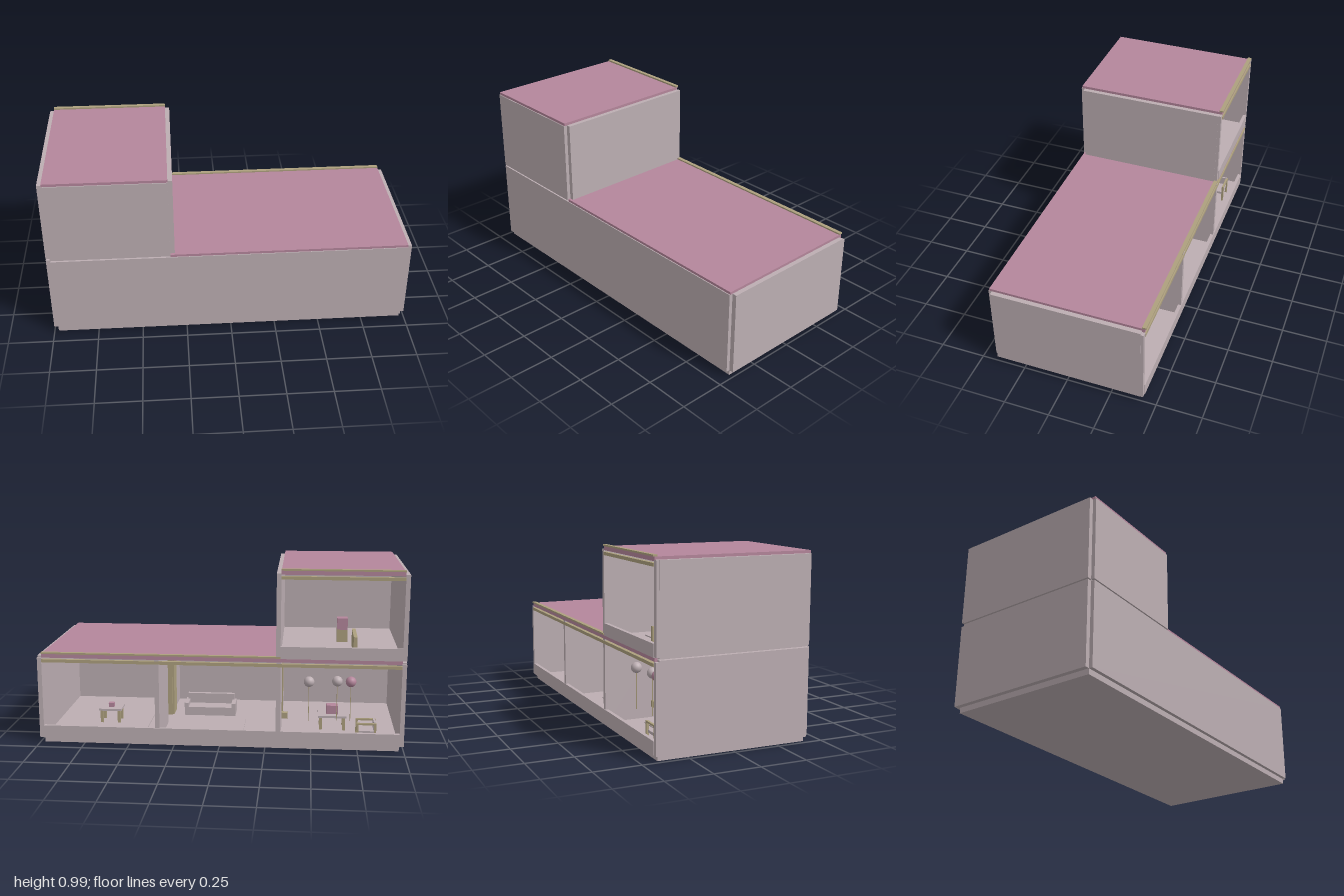
import * as THREE from 'three';

export function createModel() {
  const house = new THREE.Group();
  house.name = 'openBackHouse';
  const mat = (name, color) => {
    const m = new THREE.MeshStandardMaterial({ color });
    m.name = name;
    return m;
  };
  const wall = mat('paleMauve', 0xbcaeb2);
  const pink = mat('dustyPink', 0xb4869b);
  const olive = mat('oliveTan', 0xada07e);

  // Box given by its extents on each axis
  const box = (name, m, x0, x1, y0, y1, z0, z1, parent = house) => {
    const b = new THREE.Mesh(new THREE.BoxGeometry(x1 - x0, y1 - y0, z1 - z0), m);
    b.position.set((x0 + x1) / 2, (y0 + y1) / 2, (z0 + z1) / 2);
    b.name = name;
    parent.add(b);
    return b;
  };
  const group = (name, x, y, z) => {
    const g = new THREE.Group();
    g.name = name;
    g.position.set(x, y, z);
    house.add(g);
    return g;
  };

  // Ground floor shell
  box('baseSlab', wall, -0.975, 0.975, 0, 0.03, -0.41, 0.41);
  box('lowerFrontWall', wall, -0.975, 0.975, 0.03, 0.494, 0.41, 0.43);
  box('lowerRightWall', wall, -1, -0.975, 0.03, 0.494, -0.41, 0.41);
  box('lowerLeftWall', wall, 0.975, 1, 0.03, 0.494, -0.41, 0.41);
  box('lowerCeiling', wall, -0.975, 0.975, 0.482, 0.494, -0.41, 0.41);
  box('lowerRoof', pink, -0.33, 0.975, 0.494, 0.508, -0.41, 0.425);

  // Upper storey shell
  box('upperFloor', wall, -0.975, -0.33, 0.494, 0.508, -0.41, 0.41);
  box('upperFrontWall', wall, -0.975, -0.33, 0.502, 0.965, 0.41, 0.43);
  box('upperRightWall', wall, -1, -0.975, 0.502, 0.965, -0.41, 0.41);
  box('upperLeftWall', wall, -0.33, -0.305, 0.508, 0.965, -0.41, 0.41);
  box('upperRoof', pink, -0.975, -0.33, 0.965, 0.98, -0.41, 0.425);

  // Back sills, posts and layered trims
  box('lowerSill', wall, -0.975, 0.975, 0.03, 0.1, -0.43, -0.41);
  box('upperSill', wall, -0.975, -0.33, 0.505, 0.572, -0.43, -0.41);
  for (const x of [-0.987, -0.32, 0.34, 0.987])
    box('lowerPost', wall, x - 0.012, x + 0.012, 0.03, 0.485, -0.427, -0.41);
  for (const x of [-0.987, -0.318])
    box('upperPost', wall, x - 0.012, x + 0.012, 0.508, 0.965, -0.427, -0.41);
  const trims = (x0, x1, top, capStart) => {
    box('lintelTrim', olive, x0, x1, top - 0.047, top - 0.03, -0.43, -0.41);
    box('roofEdge', pink, x0, x1, top - 0.022, top, -0.425, -0.41);
    box('capTrim', olive, capStart, x1, top, top + 0.009, -0.432, -0.41);
  };
  trims(-0.975, 0.975, 0.507, -0.33);
  trims(-0.975, -0.33, 0.98, -0.975);

  // Partitions with doorways and olive doors
  for (const x of [-0.32, 0.34]) {
    box('partitionBack', wall, x - 0.012, x + 0.012, 0.03, 0.482, -0.41, -0.095);
    box('partitionFront', wall, x - 0.012, x + 0.012, 0.03, 0.482, 0.07, 0.41);
    box('partitionHeader', wall, x - 0.012, x + 0.012, 0.41, 0.482, -0.095, 0.07);
    box('doorJamb', olive, x - 0.016, x + 0.016, 0.03, 0.41, 0.058, 0.072);
  }
  box('openDoor', olive, 0.316, 0.326, 0.03, 0.41, 0.072, 0.18);

  // Rugs
  const rug = (x, y, z, w, d) => box('rug', wall, x - w / 2, x + w / 2, y, y + 0.006, z - d / 2, z + d / 2);
  rug(0.66, 0.03, -0.1, 0.46, 0.28);
  rug(0.03, 0.03, -0.12, 0.3, 0.26);
  rug(-0.64, 0.03, -0.1, 0.42, 0.28);
  rug(-0.62, 0.508, -0.1, 0.36, 0.28);

  // Tables with a pink box on top
  const table = (x, z, w, d, s) => {
    const g = group('table', x, 0.03, z);
    box('tableTop', wall, -w / 2, w / 2, 0.078, 0.09, -d / 2, d / 2, g);
    for (const i of [-1, 1]) for (const j of [-1, 1]) {
      const lx = i * (w / 2 - 0.015), lz = j * (d / 2 - 0.015);
      box('tableLeg', olive, lx - 0.008, lx + 0.008, 0, 0.078, lz - 0.008, lz + 0.008, g);
    }
    box('pinkBox', pink, -s, s, 0.09, 0.09 + s * 1.5, -s * 0.8, s * 0.8, g);
  };
  table(0.66, -0.1, 0.13, 0.11, 0.016);
  table(-0.62, -0.12, 0.16, 0.13, 0.033);

  // Chair with side rails
  const chair = group('chair', -0.8, 0.03, -0.32);
  box('chairSeat', wall, -0.05, 0.05, 0.05, 0.065, -0.045, 0.045, chair);
  box('chairBack', wall, -0.05, -0.04, 0.065, 0.115, -0.045, 0.045, chair);
  for (const j of [-1, 1]) {
    const z = j * 0.045;
    for (const x of [-0.048, 0.048])
      box('chairLeg', olive, x - 0.006, x + 0.006, 0, 0.1, z - 0.006, z + 0.006, chair);
    box('chairRail', olive, -0.054, 0.054, 0.1, 0.11, z - 0.006, z + 0.006, chair);
  }

  // Sofa
  const sofa = group('sofa', 0.1, 0.03, 0.12);
  box('sofaSeat', wall, -0.14, 0.14, 0, 0.05, -0.06, 0.06, sofa);
  box('sofaBack', wall, -0.14, 0.14, 0.05, 0.11, 0.035, 0.06, sofa);
  for (const i of [-1, 1])
    box('sofaArm', wall, i * 0.14 - 0.012, i * 0.14 + 0.012, 0, 0.075, -0.06, 0.06, sofa);

  // Small wall shelf, then headboard and pink chest upstairs
  box('wallShelf', olive, -0.368, -0.332, 0.09, 0.125, -0.16, -0.13);
  box('headboard', olive, -0.74, -0.72, 0.508, 0.61, -0.33, -0.1);
  box('chestStand', olive, -0.7, -0.64, 0.508, 0.585, -0.02, 0.04);
  box('pinkChest', pink, -0.7, -0.64, 0.585, 0.65, -0.02, 0.04);

  // Balloons on strings
  for (const [x, z, m] of [[-0.485, -0.31, wall], [-0.64, -0.287, wall], [-0.714, -0.293, pink]]) {
    const g = group('balloon', x, 0.352, z);
    const ball = new THREE.Mesh(new THREE.SphereGeometry(0.029, 20, 14), m);
    ball.name = 'balloonBall';
    const string = new THREE.Mesh(new THREE.CylinderGeometry(0.002, 0.002, 0.2, 6), olive);
    string.name = 'balloonString';
    string.position.y = -0.125;
    g.add(ball, string);
  }
  return house;
}
